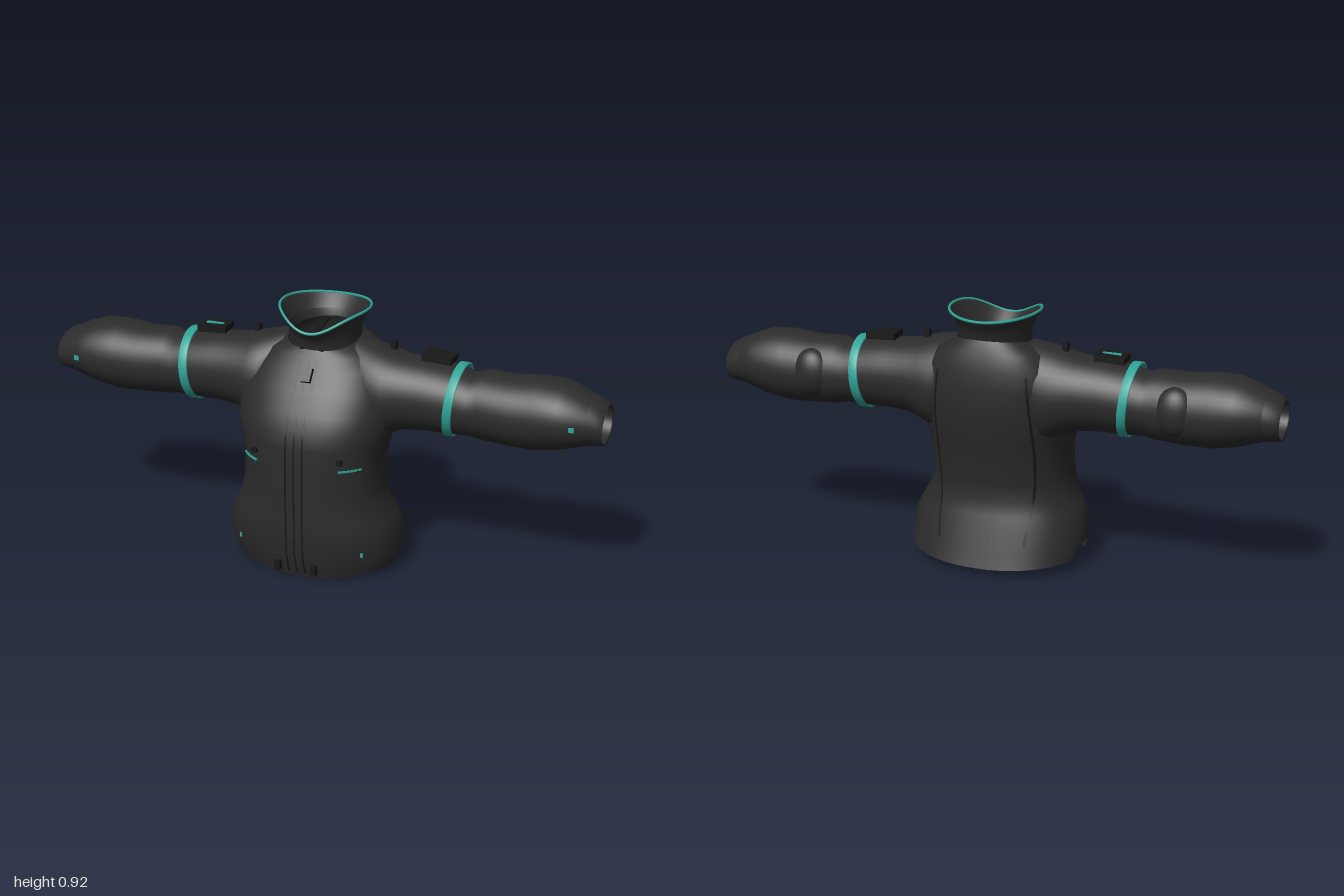
import * as THREE from 'three';

const mat = (name, color) => {
  const m = new THREE.MeshStandardMaterial({ color, side: THREE.DoubleSide });
  m.name = name;
  return m;
};

// Closed-ring loft: point(row, angle) gives each vertex, skip(row, mid) leaves openings
function loft(rows, n, point, skip = () => false) {
  const pos = [], idx = [];
  rows.forEach(r => {
    for (let j = 0; j < n; j++) pos.push(...point(r, (j / n) * Math.PI * 2));
  });
  for (let i = 0; i < rows.length - 1; i++) {
    for (let j = 0; j < n; j++) {
      const a = i * n + j, b = i * n + (j + 1) % n, c = b + n, d = a + n;
      const mid = [0, 1, 2].map(k => (pos[a * 3 + k] + pos[b * 3 + k] + pos[c * 3 + k] + pos[d * 3 + k]) / 4);
      if (!skip(i, mid)) idx.push(a, d, b, b, d, c);
    }
  }
  const g = new THREE.BufferGeometry();
  g.setAttribute('position', new THREE.Float32BufferAttribute(pos, 3));
  g.setIndex(idx);
  g.computeVertexNormals();
  return g;
}

// Torso rings: front y, back y, half width, front z, back z, side lift
const TORSO = [
  [0.0, 0.035, 0.305, 0.205, -0.245, 0.028],
  [0.09, 0.09, 0.312, 0.235, -0.226, 0],
  [0.17, 0.17, 0.305, 0.24, -0.2, 0],
  [0.21, 0.21, 0.285, 0.241, -0.184, 0],
  [0.26, 0.26, 0.259, 0.241, -0.168, 0],
  [0.32, 0.32, 0.247, 0.242, -0.171, 0],
  [0.42, 0.42, 0.247, 0.242, -0.19, 0],
  [0.49, 0.49, 0.262, 0.24, -0.203, 0],
  [0.54, 0.54, 0.275, 0.232, -0.212, 0],
  [0.6, 0.6, 0.275, 0.207, -0.22, 0],
  [0.67, 0.67, 0.265, 0.162, -0.222, 0],
  [0.73, 0.73, 0.242, 0.112, -0.214, 0],
  [0.77, 0.785, 0.195, 0.084, -0.202, 0],
  [0.79, 0.83, 0.125, 0.07, -0.18, 0],
];
const POW = 2.3;
const sp = v => Math.sign(v) * Math.pow(Math.abs(v), 2 / POW);
const torsoPoint = ([yf, yb, w, zf, zb, lift], t) => {
  const s = sp(Math.sin(t)), c = sp(Math.cos(t));
  return [w * c, (yf + yb) / 2 + s * (yf - yb) / 2 + lift * c * c, (zf + zb) / 2 + s * (zf - zb) / 2];
};

// z of the torso surface at (x, y); side is +1 for front, -1 for back
function torsoZ(x, y, side) {
  const h = side > 0 ? 0 : 1;
  let i = 0;
  while (i < TORSO.length - 2 && TORSO[i + 1][h] < y) i++;
  const f = THREE.MathUtils.clamp((y - TORSO[i][h]) / (TORSO[i + 1][h] - TORSO[i][h]), 0, 1);
  const [, , w, zf, zb] = TORSO[i].map((v, k) => THREE.MathUtils.lerp(v, TORSO[i + 1][k], f));
  const k = Math.pow(Math.max(0, 1 - Math.pow(Math.abs(x) / w, POW)), 1 / POW);
  return (zf + zb) / 2 + side * k * (zf - zb) / 2;
}

// Narrow strip laid over the torso along a list of [x, y]
function ribbon(path, width, side, lift) {
  const pos = [], idx = [];
  path.forEach(([x, y], i) => {
    for (const dx of [-width / 2, width / 2]) pos.push(x + dx, y, torsoZ(x + dx, y, side) + side * lift);
    const a = i * 2;
    if (i < path.length - 1) side > 0 ? idx.push(a, a + 1, a + 2, a + 1, a + 3, a + 2) : idx.push(a, a + 2, a + 1, a + 1, a + 2, a + 3);
  });
  const g = new THREE.BufferGeometry();
  g.setAttribute('position', new THREE.Float32BufferAttribute(pos, 3));
  g.setIndex(idx);
  g.computeVertexNormals();
  return g;
}

// Sleeve rings: x, bottom y, top y, back z, front z
const SLEEVE = [
  [0.13, 0.5, 0.815, -0.18, 0.07], [0.2, 0.46, 0.802, -0.19, 0.105],
  [0.25, 0.488, 0.789, -0.185, 0.1], [0.3, 0.512, 0.777, -0.176, 0.09],
  [0.38, 0.52, 0.77, -0.17, 0.082], [0.48, 0.52, 0.758, -0.167, 0.076],
  [0.54, 0.523, 0.74, -0.162, 0.07], [0.58, 0.515, 0.755, -0.168, 0.073],
  [0.68, 0.508, 0.752, -0.172, 0.078], [0.77, 0.507, 0.762, -0.178, 0.085],
  [0.85, 0.522, 0.758, -0.178, 0.086], [0.91, 0.54, 0.738, -0.16, 0.07],
  [0.95, 0.552, 0.718, -0.143, 0.055],
];
const CUFF = [
  [0.945, 0.55, 0.722, -0.146, 0.058], [0.97, 0.552, 0.712, -0.14, 0.05],
  [1.0, 0.558, 0.692, -0.13, 0.04], [0.995, 0.565, 0.686, -0.124, 0.034], [0.95, 0.56, 0.7, -0.13, 0.042],
];
const sleevePoint = ([x, yb, yt, zb, zf], t) =>
  [x, (yb + yt) / 2 + Math.cos(t) * (yt - yb) / 2, (zb + zf) / 2 - Math.sin(t) * (zf - zb) / 2];

// Collar rings: half width, front z, back z, blend from base (0) to rim (1)
const COLLAR = [
  [0.125, 0.07, -0.18, 0], [0.126, 0.073, -0.188, 0.35], [0.14, 0.09, -0.203, 0.7],
  [0.16, 0.113, -0.222, 1], [0.153, 0.105, -0.215, 0.98], [0.122, 0.07, -0.178, 0.4],
];
const collarPoint = ([w, zf, zb, k], t) => {
  const s = Math.sin(t);
  const base = 0.81 - 0.02 * s;
  const rim = 0.917 - 0.057 * Math.pow(Math.max(0, s), 4) - 0.014 * Math.pow(Math.max(0, -s), 2);
  return [w * Math.cos(t), base + (rim - base) * k, (zf + zb) / 2 + s * (zf - zb) / 2];
};

export function createModel() {
  const fabric = mat('charcoal fabric', 0x2b2b2b);
  const trim = mat('black trim', 0x171717);
  const teal = mat('teal accent', 0x2fa396);
  const root = new THREE.Group();
  root.name = 'jacket';
  const add = (parent, name, geo, m, x = 0, y = 0, z = 0) => {
    const mesh = new THREE.Mesh(geo, m);
    mesh.name = name;
    mesh.position.set(x, y, z);
    parent.add(mesh);
    return mesh;
  };
  const box = (w, h, d) => new THREE.BoxGeometry(w, h, d);

  // Body, open at the hem, neck, armholes and side notches
  add(root, 'torso', loft(TORSO, 72, torsoPoint, (i, [x, y, z]) =>
    (i === 0 && Math.abs(x) > 0.25 && z > -0.08 && z < 0.02) ||
    (Math.abs(x) > 0.15 && y > 0.53 && y < 0.75 && z > -0.15 && z < 0.06)), fabric);

  // Collar with a coloured rim
  add(root, 'collar', loft(COLLAR, 48, collarPoint), fabric);
  const rim = Array.from({ length: 40 }, (_, i) =>
    new THREE.Vector3(...collarPoint([0.156, 0.109, -0.218, 1], (i / 40) * Math.PI * 2)));
  add(root, 'collarRim', new THREE.TubeGeometry(new THREE.CatmullRomCurve3(rim, true), 80, 0.005, 6, true), teal);

  // Front zip and its pull
  const zipPath = x => Array.from({ length: 40 }, (_, i) => [x, 0.02 + i * 0.0192]);
  for (const x of [-0.03, 0.03]) add(root, 'zipEdge', ribbon(zipPath(x), 0.007, 1, 0.005), trim);
  add(root, 'zipTeeth', ribbon(zipPath(0), 0.006, 1, 0.004), trim);
  const pull = add(root, 'zipPull', box(0.032, 0.05, 0.02), trim, 0.005, 0.72, torsoZ(0, 0.72, 1) + 0.008);
  pull.rotation.x = -0.65;

  // Hanging straps across the inside of the neck
  for (const x of [-0.038, 0.032]) add(root, 'neckStrap', box(0.014, 0.006, 0.25), trim, x, 0.805, -0.055).rotation.x = 0.12;

  for (const side of [1, -1]) {
    const half = new THREE.Group();
    half.name = side > 0 ? 'leftHalf' : 'rightHalf';
    half.scale.x = side;
    root.add(half);

    // Sleeve, cuff and elbow pad
    add(half, 'sleeve', loft(SLEEVE, 40, sleevePoint), fabric);
    add(half, 'cuff', loft(CUFF, 40, sleevePoint), fabric);
    const pad = add(half, 'elbowPad', new THREE.SphereGeometry(1, 24, 16), fabric, 0.655, 0.64, -0.132);
    pad.scale.set(0.072, 0.085, 0.054);

    // Upper arm band, leaning slightly outward at the top
    const band = [[0.467, 0.2], [0.469, 1], [0.497, 1], [0.499, 0.2]];
    add(half, 'armBand', loft(band, 40, ([x, k], t) =>
      [x + 0.012 * Math.cos(t), 0.64 + Math.cos(t) * (0.12 + 0.009 * k), -0.046 - Math.sin(t) * (0.121 + 0.009 * k)]), teal);

    // Shoulder flap and stud
    const flap = add(half, 'shoulderFlap', box(0.105, 0.022, 0.078), trim, 0.413, 0.781, -0.053);
    flap.rotation.z = -0.05;
    if (side < 0) add(half, 'flapStripe', box(0.065, 0.006, 0.012), teal, 0.413, 0.793, -0.053);
    add(half, 'shoulderStud', box(0.02, 0.03, 0.02), trim, 0.25, 0.8, -0.053);

    // Pocket opening and zip tab
    const pocket = Array.from({ length: 7 }, (_, i) => 0.148 + i * 0.011);
    pocket.slice(0, -1).forEach(x => {
      const z = torsoZ(x + 0.0055, 0.42, 1);
      const p = add(half, 'pocketLine', box(0.013, 0.006, 0.008), teal, x + 0.0055, 0.42, z + 0.002);
      p.rotation.y = Math.atan2(torsoZ(x, 0.42, 1) - torsoZ(x + 0.011, 0.42, 1), 0.011);
    });
    add(half, 'pocketTab', box(0.018, 0.018, 0.016), trim, 0.155, 0.457, torsoZ(0.155, 0.457, 1) + 0.008);

    // Hem toggle and side label
    add(half, 'hemToggle', box(0.018, 0.036, 0.024), trim, 0.066, 0.042, torsoZ(0.066, 0.04, 1) + 0.01);
    add(half, 'sideLabel', box(0.008, 0.016, 0.008), teal, 0.225, 0.108, torsoZ(0.225, 0.108, 1));

    // Small tag near the cuff
    add(half, 'cuffTag', box(0.018, 0.016, 0.008), teal, 0.905, 0.637, 0.072);

    // Back seam following the waist
    const seam = Array.from({ length: 30 }, (_, i) => {
      const y = 0.12 + i * 0.0207;
      return [0.155 + 0.02 * Math.sin((y - 0.12) * 5), y];
    });
    add(half, 'backSeam', ribbon(seam, 0.008, -1, 0.006), trim);
  }
  return root;
}
